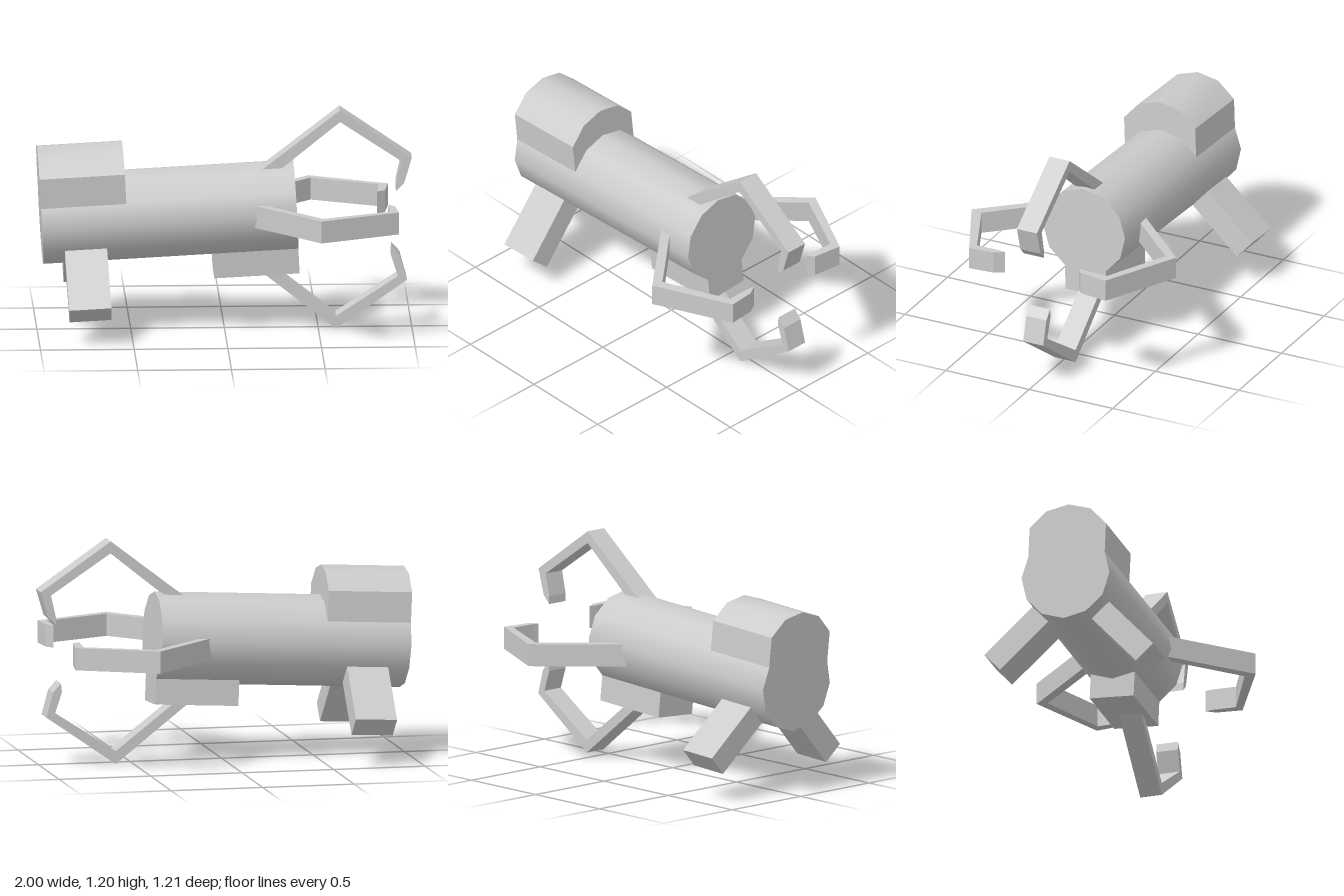
import * as THREE from 'three';
import { toCreasedNormals } from 'three/addons/utils/BufferGeometryUtils.js';

const rad = THREE.MathUtils.degToRad;
const material = new THREE.MeshStandardMaterial({ color: 0xcccccc });

function add(parent, name, geometry) {
  const mesh = new THREE.Mesh(geometry, material);
  mesh.name = name;
  parent.add(mesh);
  return mesh;
}

// Extrudes a closed outline, centred on its depth
function slab(points, depth) {
  const shape = new THREE.Shape(points.map(([x, y]) => new THREE.Vector2(x, y)));
  return new THREE.ExtrudeGeometry(shape, { depth, bevelEnabled: false }).translate(0, 0, -depth / 2);
}

// Outlines are (x, distance from the claw axis): root, elbow, wrist, tip and back
const claws = [
  { name: 'topClaw', angle: 0, offset: [0, 0.6, 0.015],
    points: [[0.16, 0.255], [0.615, 0.606], [0.998, 0.344], [0.957, 0.205], [0.914, 0.162],
      [0.915, 0.205], [0.942, 0.325], [0.615, 0.542], [0.24, 0.24]] },
  { name: 'bottomClaw', angle: 180, offset: [0, 0.6, -0.01],
    points: [[0.14, 0.235], [0.594, 0.594], [0.973, 0.33], [0.936, 0.196], [0.893, 0.148],
      [0.888, 0.196], [0.925, 0.309], [0.594, 0.524], [0.21, 0.225]] },
  { name: 'leftClaw', angle: 90, offset: [0, 0.66, 0],
    points: [[0.13, 0.19], [0.497, 0.602], [0.916, 0.403], [0.904, 0.262], [0.872, 0.209],
      [0.865, 0.257], [0.868, 0.38], [0.508, 0.537], [0.195, 0.19]] },
  { name: 'rightClaw', angle: -90, offset: [0, 0.635, 0],
    points: [[0.06, 0.19], [0.472, 0.61], [0.888, 0.4], [0.866, 0.24], [0.824, 0.209],
      [0.829, 0.246], [0.836, 0.38], [0.481, 0.551], [0.13, 0.19]] },
];

export function createModel() {
  const model = new THREE.Group();

  // Tilted hull; its long axis runs along local x
  const hull = new THREE.Group();
  hull.name = 'hull';
  hull.position.set(-0.3, 0.64, -0.012);
  hull.rotation.set(rad(3.5), 0, rad(3), 'ZYX');
  model.add(hull);

  const length = 1.362;
  const half = length / 2;
  add(hull, 'body', new THREE.CylinderGeometry(0.245, 0.245, length, 12).rotateZ(-Math.PI / 2));

  // Arched housing over the rear end
  const arch = [[-0.213, 0], [0.213, 0], [0.213, 0.283], [0.122, 0.374],
    [0, 0.405], [-0.122, 0.374], [-0.213, 0.283]];
  const housing = slab(arch, 0.456).rotateY(Math.PI / 2);
  add(hull, 'rearHousing', toCreasedNormals(housing, rad(40))).position.x = -half + 0.228;

  // Keel block under the front end
  add(hull, 'keelBlock', new THREE.BoxGeometry(0.456, 0.25, 0.245)).position.set(half - 0.228, -0.225, 0);

  // Splayed legs
  for (const side of [1, -1]) {
    const leg = new THREE.BoxGeometry(0.225, 0.5, 0.13).translate(0, -0.35, 0);
    const mesh = add(hull, side > 0 ? 'leftLeg' : 'rightLeg', leg);
    mesh.position.x = -0.453;
    mesh.rotation.x = -side * rad(45);
  }

  // Four hooked claws around the front end
  for (const { name, angle, offset, points } of claws) {
    const claw = add(model, name, slab(points, 0.12));
    claw.rotation.x = rad(angle);
    claw.position.set(...offset);
  }

  return model;
}
